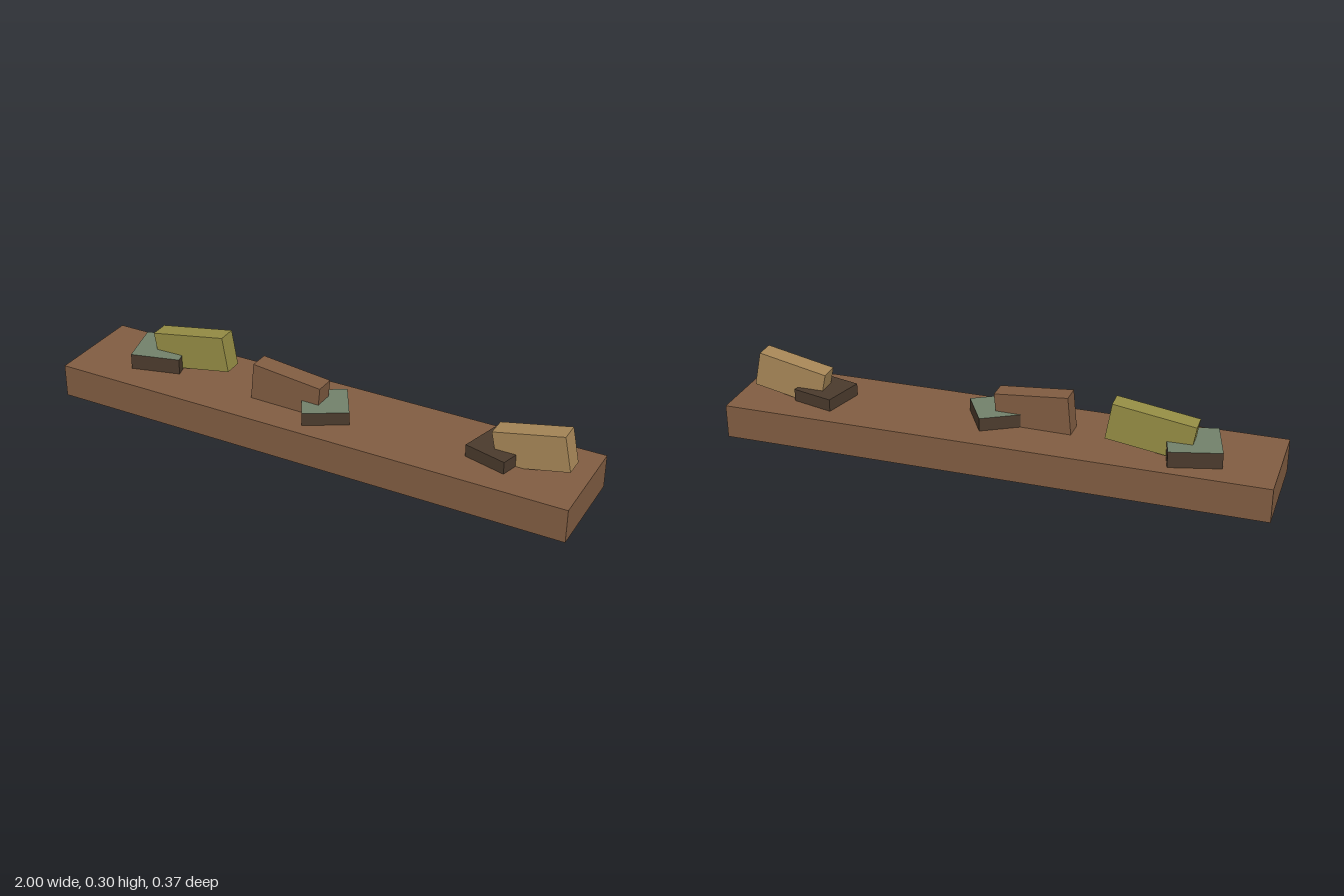
import * as THREE from 'three';

const mat = (name, color) =>
  new THREE.MeshStandardMaterial({ name, color, side: THREE.DoubleSide });

// Box without its underside: material group 0 = sides, group 1 = top
function openBox(w, h, d) {
  const g = new THREE.BoxGeometry(w, h, d);
  const idx = Array.from(g.index.array);
  g.setIndex([...idx.slice(0, 12), ...idx.slice(24), ...idx.slice(12, 18)]);
  g.clearGroups();
  g.addGroup(0, 24, 0);
  g.addGroup(24, 6, 1);
  return g;
}

export function createModel() {
  const model = new THREE.Group();
  model.name = 'plankWithBlocks';

  const wood = mat('woodBrown', 0x805c41);
  const dark = mat('darkBrown', 0x4a3a2c);
  const green = mat('sageGreen', 0x71806a);
  const olive = mat('olive', 0x948c44);
  const tan = mat('tan', 0xa68657);

  // Long plank, hollow underneath
  const plank = new THREE.Mesh(openBox(2, 0.126, 0.374), [wood, wood]);
  plank.name = 'plank';
  plank.position.y = 0.063;
  model.add(plank);

  // Square slabs sunk through the plank top: x, z, size, top height, yaw, top colour
  const slabs = [
    ['leftSlab', -0.7, -0.032, 0.187, 0.185, 15, green],
    ['middleSlab', 0.024, 0.024, 0.167, 0.175, 30, green],
    ['rightSlab', 0.677, -0.011, 0.163, 0.172, -15, dark],
  ];
  for (const [name, x, z, size, top, yaw, topMat] of slabs) {
    const h = 0.11;
    const slab = new THREE.Mesh(openBox(size, h, size), [dark, topMat]);
    slab.name = name;
    slab.position.set(x, top - h / 2, z);
    slab.rotation.y = THREE.MathUtils.degToRad(yaw);
    model.add(slab);
  }

  // Tilted upright blocks: centre, size, yaw, pitch, colour
  const blocks = [
    ['oliveBlock', [-0.556, 0.208, -0.038], [0.299, 0.136, 0.072], 1.5, 9.4, olive],
    ['brownBlock', [-0.119, 0.182, 0.021], [0.274, 0.145, 0.074], -1, -5.4, wood],
    ['tanBlock', [0.802, 0.198, -0.012], [0.263, 0.132, 0.075], 0, 12, tan],
  ];
  for (const [name, pos, size, yaw, pitch, material] of blocks) {
    const block = new THREE.Mesh(new THREE.BoxGeometry(...size), material);
    block.name = name;
    block.position.set(...pos);
    block.rotation.set(0, THREE.MathUtils.degToRad(yaw), THREE.MathUtils.degToRad(pitch));
    model.add(block);
  }

  return model;
}
